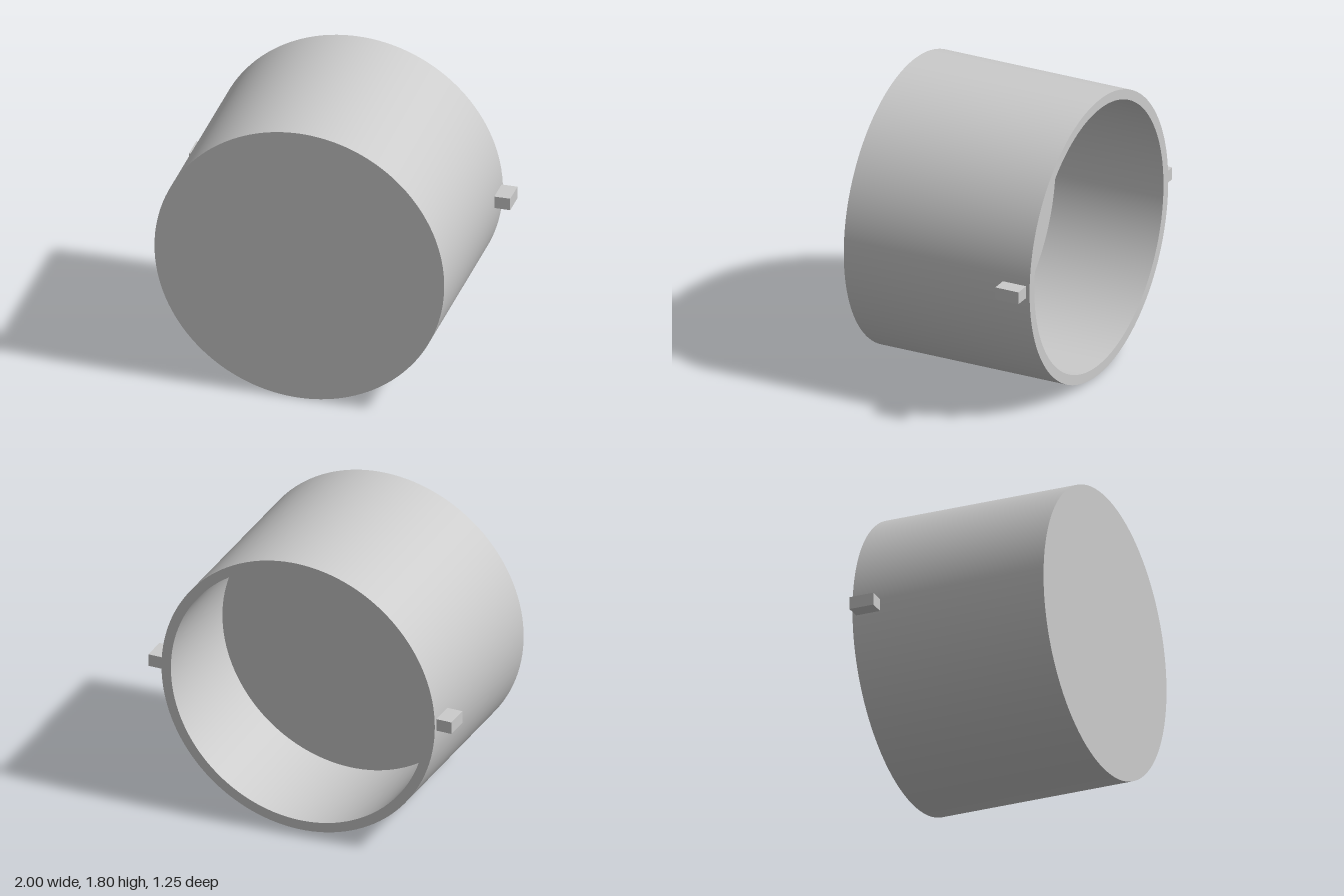
import * as THREE from 'three';
import { toCreasedNormals } from 'three/addons/utils/BufferGeometryUtils.js';

const RADIUS = 0.902, INNER = 0.84, HALF = 0.625, FLOOR = 0.10;

export function createModel() {
  const group = new THREE.Group();
  const material = new THREE.MeshStandardMaterial({ color: 0xcccccc });

  // Cup: solid front, open recess at the back, turned as one closed profile
  const profile = [
    [0, FLOOR], [INNER, FLOOR], [INNER, -HALF],
    [RADIUS, -HALF], [RADIUS, HALF], [0, HALF],
  ].map(([r, y]) => new THREE.Vector2(r, y));
  const cupGeometry = toCreasedNormals(new THREE.LatheGeometry(profile, 128), Math.PI / 6);
  cupGeometry.rotateX(Math.PI / 2);
  const cup = new THREE.Mesh(cupGeometry, material);
  cup.name = 'cup';
  cup.position.y = RADIUS;
  group.add(cup);

  // Locking lugs: small blocks on both sides near the open rim, rooted in the wall
  const inner = 0.88, outer = 1;
  for (const side of [1, -1]) {
    const lug = new THREE.Mesh(new THREE.BoxGeometry(outer - inner, 0.078, 0.156), material);
    lug.name = side > 0 ? 'leftLug' : 'rightLug';
    lug.position.set(side * (inner + outer) / 2, 0.906, -0.523);
    group.add(lug);
  }
  return group;
}
